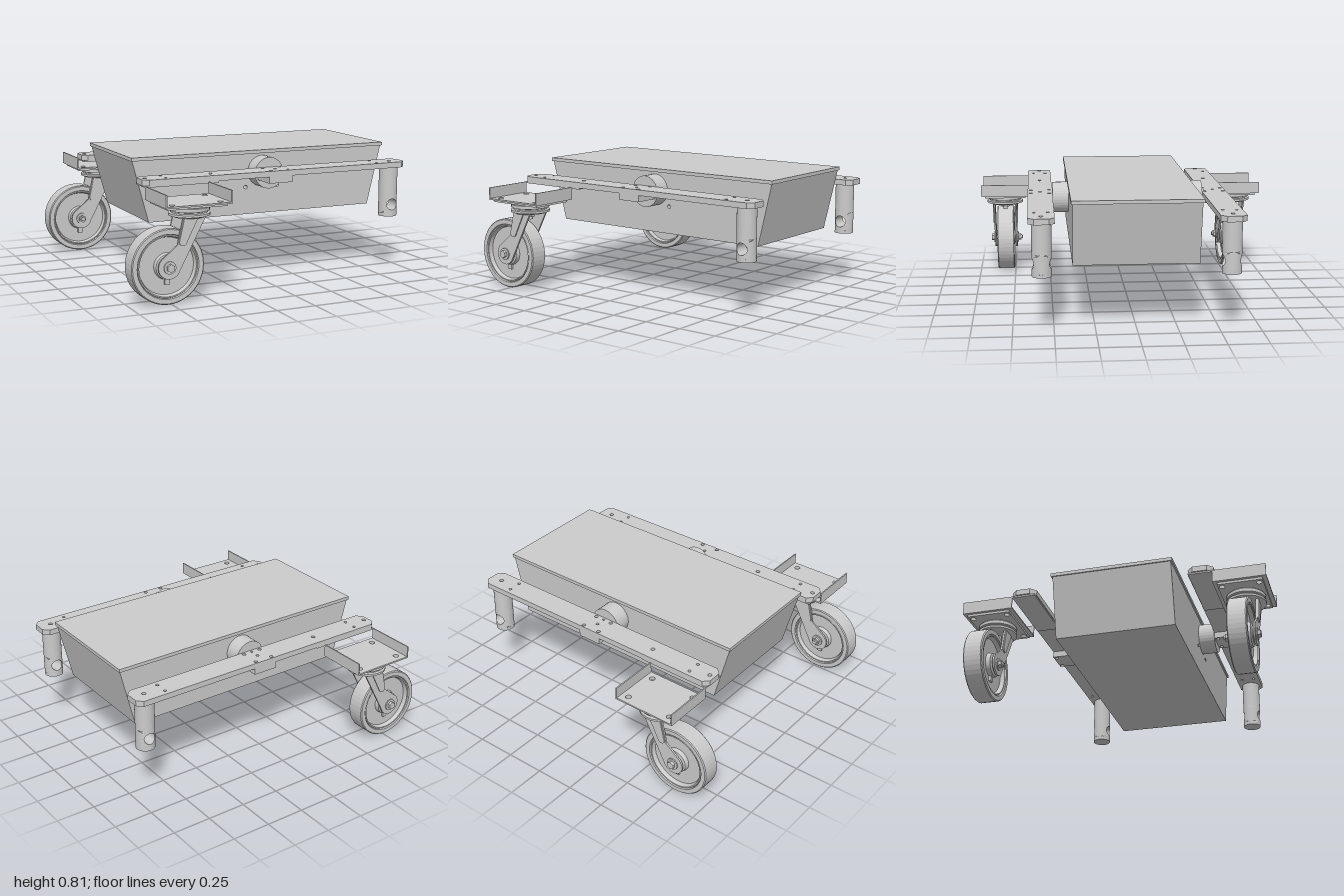
import * as THREE from 'three';
import { ParametricGeometry } from 'three/addons/geometries/ParametricGeometry.js';

const grey = new THREE.MeshStandardMaterial({ color: 0xcccccc, flatShading: true });
const greyDouble = new THREE.MeshStandardMaterial({ color: 0xcccccc, flatShading: true, side: THREE.DoubleSide });

function add(parent, name, geometry, x = 0, y = 0, z = 0, material = grey) {
  const mesh = new THREE.Mesh(geometry, material);
  mesh.name = name;
  mesh.position.set(x, y, z);
  parent.add(mesh);
  return mesh;
}

function polygon(points, holes = []) {
  const shape = new THREE.Shape(points.map(([x, y]) => new THREE.Vector2(x, y)));
  for (const [x, y, r] of holes) {
    shape.holes.push(new THREE.Path().absarc(x, y, r, 0, Math.PI * 2, true));
  }
  return shape;
}

// Extrusion along z, centred on z = 0
function slab(shape, depth) {
  const g = new THREE.ExtrudeGeometry(shape, { depth, bevelEnabled: false, curveSegments: 10 });
  return g.translate(0, 0, -depth / 2);
}

// Horizontal plate with its underside at y = 0
function plate(shape, thickness) {
  return slab(shape, thickness).rotateX(-Math.PI / 2).translate(0, thickness / 2, 0);
}

const rect = (x0, x1, w) => [[x0, -w], [x1, -w], [x1, w], [x0, w]];
const disc = (r, h, n = 32, r2 = r) => new THREE.CylinderGeometry(r, r2, h, n);
const discZ = (r, h, n = 32) => disc(r, h, n).rotateX(Math.PI / 2);
const lathe = (pts, n) => new THREE.LatheGeometry(pts.map(([r, y]) => new THREE.Vector2(r, y)), n);

// Tapered tub with flat lid
function buildBody(root) {
  const body = new THREE.Group();
  body.name = 'body';
  const side = polygon([[-0.7, 0.4], [0.87, 0.4], [0.965, 0.79], [-0.805, 0.79]],
    [[-0.035, 0.575, 0.012], [0.19, 0.575, 0.012]]);
  add(body, 'tub', slab(side, 0.77));
  add(body, 'lid', new THREE.BoxGeometry(1.785, 0.022, 0.79), 0.08, 0.8, 0);
  root.add(body);
}

// Round post with a cross hole through it along z
function buildPost(root, x, z) {
  const post = new THREE.Group();
  post.name = 'post';
  post.position.set(x, 0, z);
  const R = 0.06, r = 0.037, yc = 0.43, h = 0.06;
  for (const [y0, y1] of [[0.35, yc - h], [yc + h, 0.68]]) {
    add(post, 'postSection', disc(R, y1 - y0), 0, (y0 + y1) / 2, 0);
  }
  // Curved skin spreading from the hole edge to a square patch on each half
  for (const f of [1, -1]) {
    const skin = (u, v, t) => {
      const c = Math.cos(u * Math.PI * 2), s = Math.sin(u * Math.PI * 2);
      const m = Math.max(Math.abs(c), Math.abs(s));
      const a = THREE.MathUtils.lerp(Math.asin(r * c / R), Math.PI / 2 * c / m, v);
      const y = THREE.MathUtils.lerp(r * s, h * s / m, v);
      t.set(R * Math.sin(a), yc + y, f * R * Math.cos(a));
    };
    add(post, 'postHoleSurround', new ParametricGeometry(skin, 48, 6), 0, 0, 0, greyDouble);
  }
  const wall = (u, v, t) => {
    const px = r * Math.cos(u * Math.PI * 2), py = r * Math.sin(u * Math.PI * 2);
    t.set(px, yc + py, (v * 2 - 1) * Math.sqrt(R * R - px * px));
  };
  add(post, 'postHoleWall', new ParametricGeometry(wall, 48, 1), 0, 0, 0, greyDouble);
  root.add(post);
}

// Side beam, pivot, saddle and post
function buildBeam(root, s) {
  const beam = new THREE.Group();
  beam.name = s > 0 ? 'frontBeam' : 'backBeam';
  const z = s * 0.57, w = 0.08, c = 0.035;
  const saddleHoles = [];
  for (const x of [0.02, 0.14]) for (const k of [-1, 1]) saddleHoles.push([x, k * 0.06, 0.012]);
  const holes = [...saddleHoles, [0.08, 0, 0.01], [0.08, s * 0.06, 0.008],
    [-0.795, 0, 0.013], [-0.365, 0, 0.013], [0.915, 0, 0.014]];
  for (const x of [-0.675, 0.795]) for (const k of [-1, 1]) holes.push([x, k * 0.042, 0.01]);
  const outline = [[-0.83 + c, -w], [1 - c, -w], [1, -w + c], [1, w - c],
    [1 - c, w], [-0.83 + c, w], [-0.83, w - c], [-0.83, -w + c]];
  add(beam, 'beamPlate', plate(polygon(outline, holes), 0.036), 0, 0.676, z);
  add(beam, 'saddle', plate(polygon(rect(0, 0.16, w), saddleHoles), 0.041), 0, 0.635, z);
  add(beam, 'packingStrip', new THREE.BoxGeometry(0.48, 0.01, 0.15), -0.58, 0.671, z);
  add(beam, 'pivot', discZ(0.1, 0.11), 0.08, 0.675, s * 0.435);
  buildPost(beam, 0.915, z);
  root.add(beam);
}

// Upturned channel that carries the caster
function buildBracket(root, s) {
  const bracket = new THREE.Group();
  bracket.name = 'casterBracket';
  bracket.position.set(-0.612, 0, s * 0.81);
  const holes = [];
  for (const x of [-0.153, 0.153]) for (const k of [-1, 1]) holes.push([x, k * 0.114, 0.018]);
  add(bracket, 'bracketFloor', plate(polygon(rect(-0.208, 0.208, 0.165), holes), 0.01), 0, 0.595, 0);
  for (const k of [-1, 1]) {
    add(bracket, 'bracketLip', new THREE.BoxGeometry(0.008, 0.08, 0.33), k * 0.205, 0.635, 0);
  }
  add(bracket, 'casterTopPlate', plate(polygon(rect(-0.19, 0.19, 0.14), holes), 0.015), 0, 0.58, 0);
  root.add(bracket);
}

// Swivel caster: bearing, fork, wheel and axle
function buildCaster(root, s) {
  const caster = new THREE.Group();
  caster.name = 'caster';
  caster.position.z = s * 0.815;
  const bx = -0.612;
  add(caster, 'swivelBearing', lathe([[0, 0.513], [0.1, 0.513], [0.115, 0.522], [0.125, 0.522],
    [0.125, 0.536], [0.11, 0.54], [0.11, 0.548], [0.122, 0.552], [0.122, 0.572],
    [0.112, 0.582], [0, 0.582]], 40), bx, 0, 0);
  add(caster, 'kingPinNut', disc(0.028, 0.025, 6), bx, 0.5, 0);
  add(caster, 'kingPin', disc(0.015, 0.045, 16), bx, 0.492, 0);

  const ax = -0.77, ay = 0.232;
  const leg = polygon([[0.23, 0.285], [0.085, 0.285], [0.05, 0.13], [-0.036, 0.06]]);
  leg.absarc(0, 0, 0.07, 2.1, 6.0, false);
  const rib = polygon([[0.18, 0.285], [0.092, 0.285], [0.06, 0.15]]);
  rib.absarc(0.083, 0.145, 0.023, 3.0, 5.8, false);
  for (const k of [-1, 1]) {
    add(caster, 'forkLeg', slab(leg, 0.012), ax, ay, k * 0.075);
    add(caster, 'forkRib', slab(rib, 0.014), ax, ay, k * 0.081);
    add(caster, 'axleWasher', discZ(0.038, 0.008, 24), ax, ay, k * 0.085);
    add(caster, 'axleNut', discZ(0.025, 0.022, 6), ax, ay, k * 0.096);
    add(caster, 'greaseFitting', new THREE.BoxGeometry(0.03, 0.035, 0.016), ax, ay - 0.092, k * 0.035);
  }
  add(caster, 'axle', discZ(0.014, 0.2, 16), ax, ay, s * -0.018);

  // Wheel profile, mirrored about its middle plane
  const half = [[0, 0.066], [0.045, 0.066], [0.05, 0.06], [0.075, 0.055], [0.08, 0.028],
    [0.172, 0.028], [0.18, 0.055], [0.187, 0.055], [0.19, 0.05], [0.194, 0.06],
    [0.222, 0.06], [0.228, 0.054]];
  const profile = [...half.map(([r, y]) => [r, -y]), ...half.slice().reverse()];
  add(caster, 'wheel', lathe(profile, 48).rotateX(Math.PI / 2), ax, ay, 0);
  root.add(caster);
}

export function createModel() {
  const root = new THREE.Group();
  root.name = 'wheeledTubCart';
  buildBody(root);
  for (const s of [1, -1]) {
    buildBeam(root, s);
    buildBracket(root, s);
    buildCaster(root, s);
  }
  return root;
}
